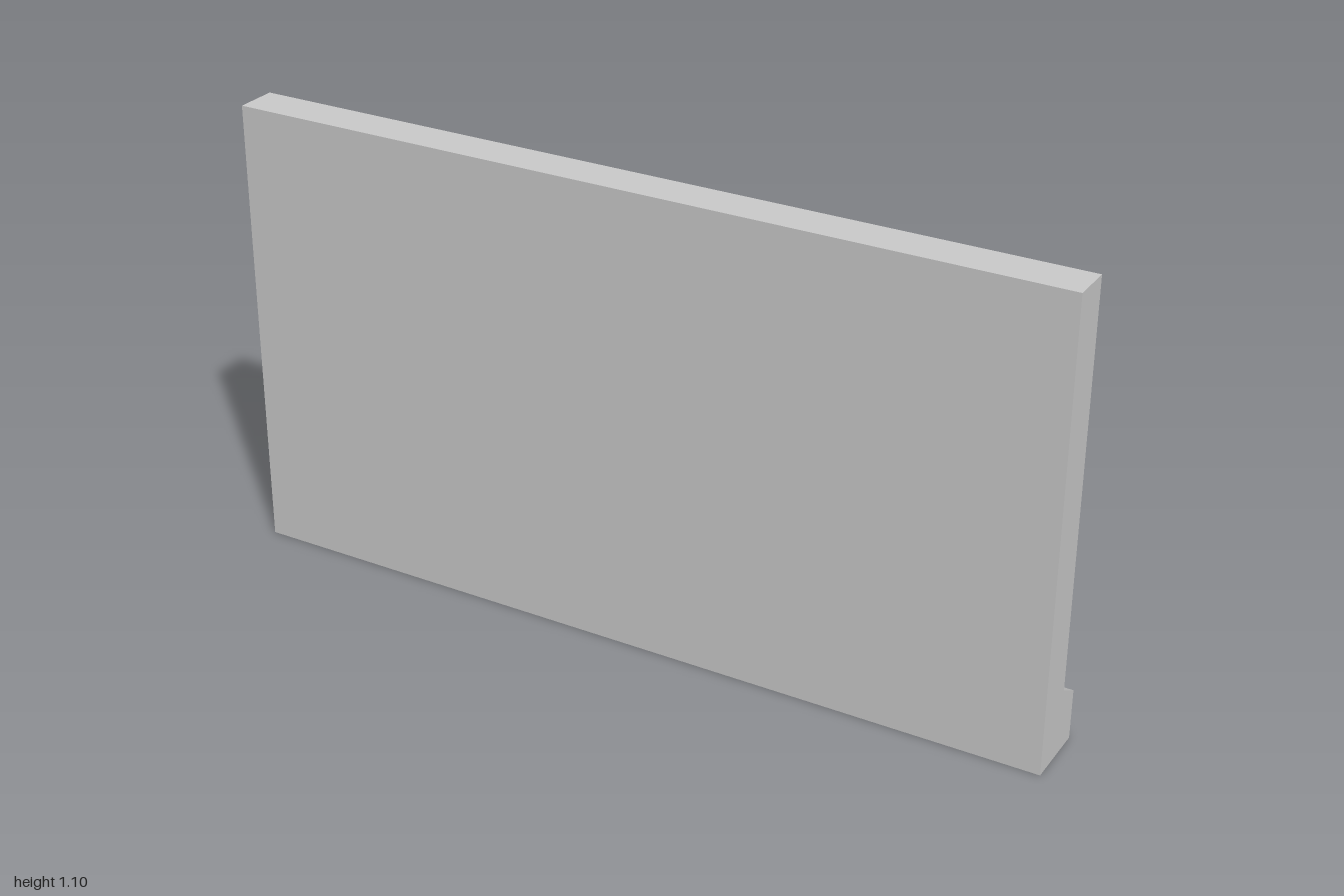
import * as THREE from 'three';

const HEIGHT = 1.1, FRONT = 0.08, BACK = -0.02;   // wall slab
const DOOR_X = 0.188, DOOR_TOP = 0.744, DOOR_Z = 0.054; // recess in the back face
const BASE_Z = -0.08, BASE_LOW = 0.12, BASE_HIGH = 0.153, BASE_CUT = 0.26;

export function createModel() {
  const group = new THREE.Group();
  const material = new THREE.MeshStandardMaterial({ color: 0xcccccc, flatShading: true });
  const add = (name, geometry) => {
    const mesh = new THREE.Mesh(geometry, material);
    mesh.name = name;
    group.add(mesh);
    return mesh;
  };
  const shapeOf = (points) => new THREE.Shape(points.map(([x, y]) => new THREE.Vector2(x, y)));

  // Thin front panel, which closes the doorway
  const panel = new THREE.BoxGeometry(2, HEIGHT, FRONT - DOOR_Z);
  panel.translate(0, HEIGHT / 2, (FRONT + DOOR_Z) / 2);
  add('frontPanel', panel);

  // Thick rear wall with the doorway cut up from the ground
  const outline = shapeOf([
    [-1, 0], [-DOOR_X, 0], [-DOOR_X, DOOR_TOP], [DOOR_X, DOOR_TOP],
    [DOOR_X, 0], [1, 0], [1, HEIGHT], [-1, HEIGHT],
  ]);
  const wall = new THREE.ExtrudeGeometry(outline, { depth: DOOR_Z - BACK, bevelEnabled: false });
  wall.translate(0, 0, BACK);
  add('rearWall', wall);

  // Sloped plinth on each side of the doorway, its inner end cut at an angle
  const profile = shapeOf([[-BACK, 0], [-BASE_Z, 0], [-BASE_Z, BASE_LOW], [-BACK, BASE_HIGH]]);
  for (const side of [1, -1]) {
    const plinth = new THREE.ExtrudeGeometry(profile, { depth: 1 - DOOR_X, bevelEnabled: false });
    plinth.rotateY(Math.PI / 2);
    plinth.translate(side > 0 ? DOOR_X : -1, 0, 0);
    const p = plinth.attributes.position;
    for (let i = 0; i < p.count; i++) {
      if (Math.abs(p.getX(i)) < 0.5 && p.getZ(i) < -0.05) p.setX(i, side * BASE_CUT);
    }
    plinth.computeVertexNormals();
    add(side > 0 ? 'leftPlinth' : 'rightPlinth', plinth);
  }
  return group;
}
